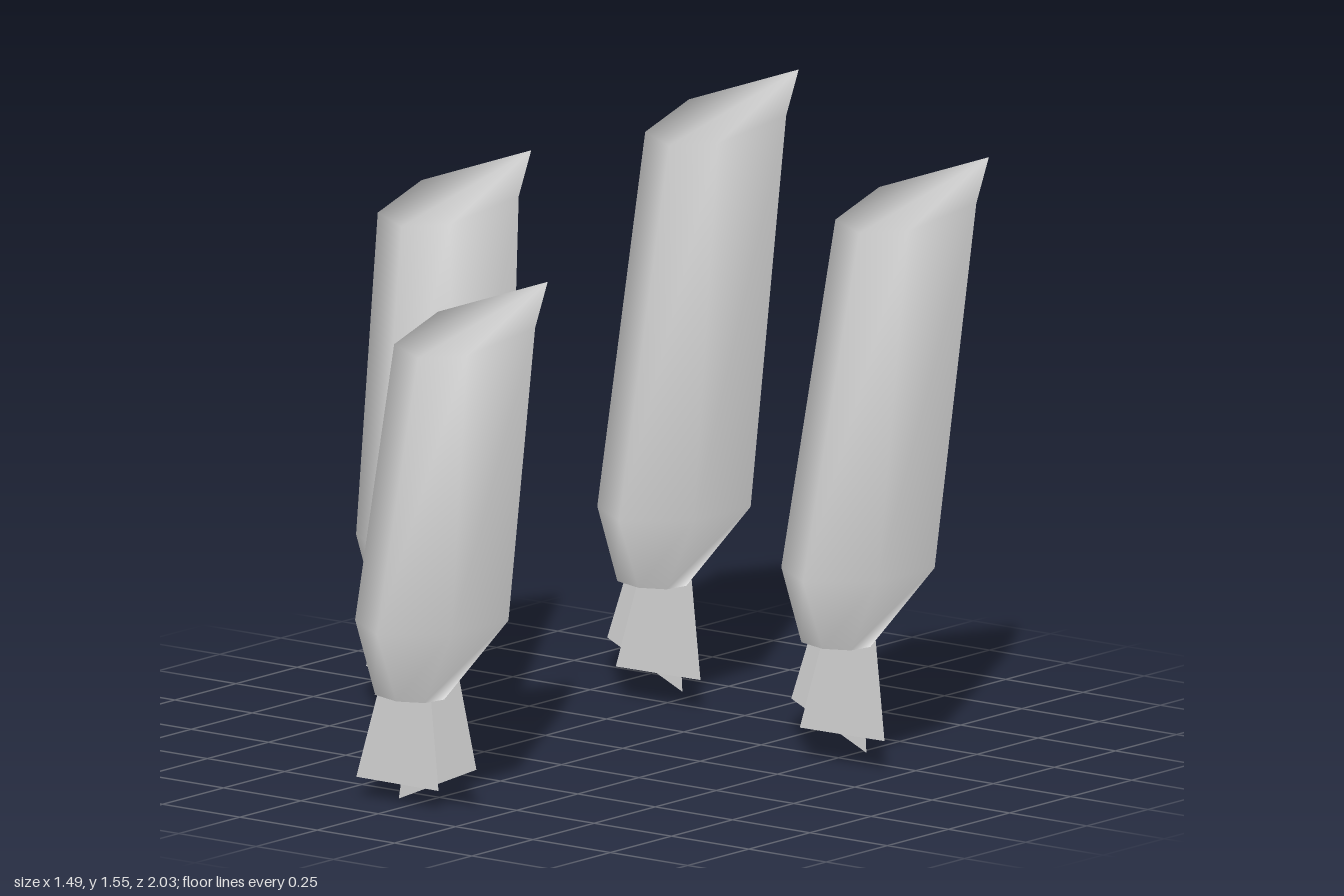
import * as THREE from 'three';

// Cross-sections run from the back right edge, around the front, to the back left edge.
const TOP = [[-0.157, 0, 0], [-0.117, -0.04, 0.23], [0, -0.052, 0.28], [0.117, -0.04, 0.23], [0.157, 0, 0]];
const MID = [[-0.165, 0, 0.01], [-0.145, 0, 0.23], [0, -0.003, 0.325], [0.155, 0, 0.215], [0.165, 0, -0.005]];
const LOW = [[-0.115, -0.175, 0.195], [-0.08, -0.186, 0.23], [0, -0.19, 0.245], [0.08, -0.186, 0.23], [0.115, -0.178, 0.195]];
const TIP = [0, 0.056, -0.25];

// Each stalk: top anchor, middle anchor, and which way its fins are turned
const STALKS = [
  { top: [0.03, 1.238, 0.595], mid: [-0.005, 0.488, 0.675], turn: -1 },
  { top: [-0.588, 1.375, -0.12], mid: [-0.555, 0.517, -0.025], turn: 1 },
  { top: [-0.241, 1.52, -0.775], mid: [-0.285, 0.517, -0.67], turn: 1 },
  { top: [0.583, 1.448, -0.51], mid: [0.535, 0.517, -0.385], turn: 1 },
];

const add = (a, b) => a.map((v, i) => v + b[i]);

function surface(points, index) {
  const g = new THREE.BufferGeometry();
  g.setAttribute('position', new THREE.Float32BufferAttribute(points.flat(), 3));
  g.setIndex(index);
  g.computeVertexNormals();
  return g;
}

// Open-backed curved shell with a folded-over pointed cap
function shellGeometry({ top, mid }) {
  const points = [
    ...LOW.map((p) => add(p, mid)),
    ...MID.map((p) => add(p, mid)),
    ...TOP.map((p) => add(p, top)),
    add(TIP, top),
  ];
  const index = [];
  for (let row = 0; row < 2; row++) {
    for (let i = 0; i < 4; i++) {
      const a = row * 5 + i, b = a + 1, c = a + 5, d = b + 5;
      index.push(a, b, d, a, d, c);
    }
  }
  for (let i = 10; i < 14; i++) index.push(15, i, i + 1);
  return surface(points, index);
}

// Flat triangular fin: two base corners and an apex inside the shell
function finGeometry(corners, { mid, turn }) {
  return surface(corners.map(([x, y, z]) => add([x * turn, y, z], mid)), [0, 1, 2]);
}

export function createModel() {
  const model = new THREE.Group();
  model.name = 'stalkCluster';
  const grey = new THREE.MeshStandardMaterial({ color: 0xcccccc, side: THREE.DoubleSide });
  grey.name = 'grey';

  const FINS = {
    frontFin: [[-0.105, -0.415, 0.205], [0.165, -0.415, 0.2], [0.03, 0.21, 0.12]],
    backFin: [[-0.18, -0.36, 0.145], [0.067, -0.467, 0.15], [-0.01, 0.2, 0.105]],
  };

  for (const stalk of STALKS) {
    const group = new THREE.Group();
    group.name = 'stalk';
    const shell = new THREE.Mesh(shellGeometry(stalk), grey);
    shell.name = 'shell';
    group.add(shell);
    for (const [name, corners] of Object.entries(FINS)) {
      const fin = new THREE.Mesh(finGeometry(corners, stalk), grey);
      fin.name = name;
      group.add(fin);
    }
    model.add(group);
  }
  return model;
}
